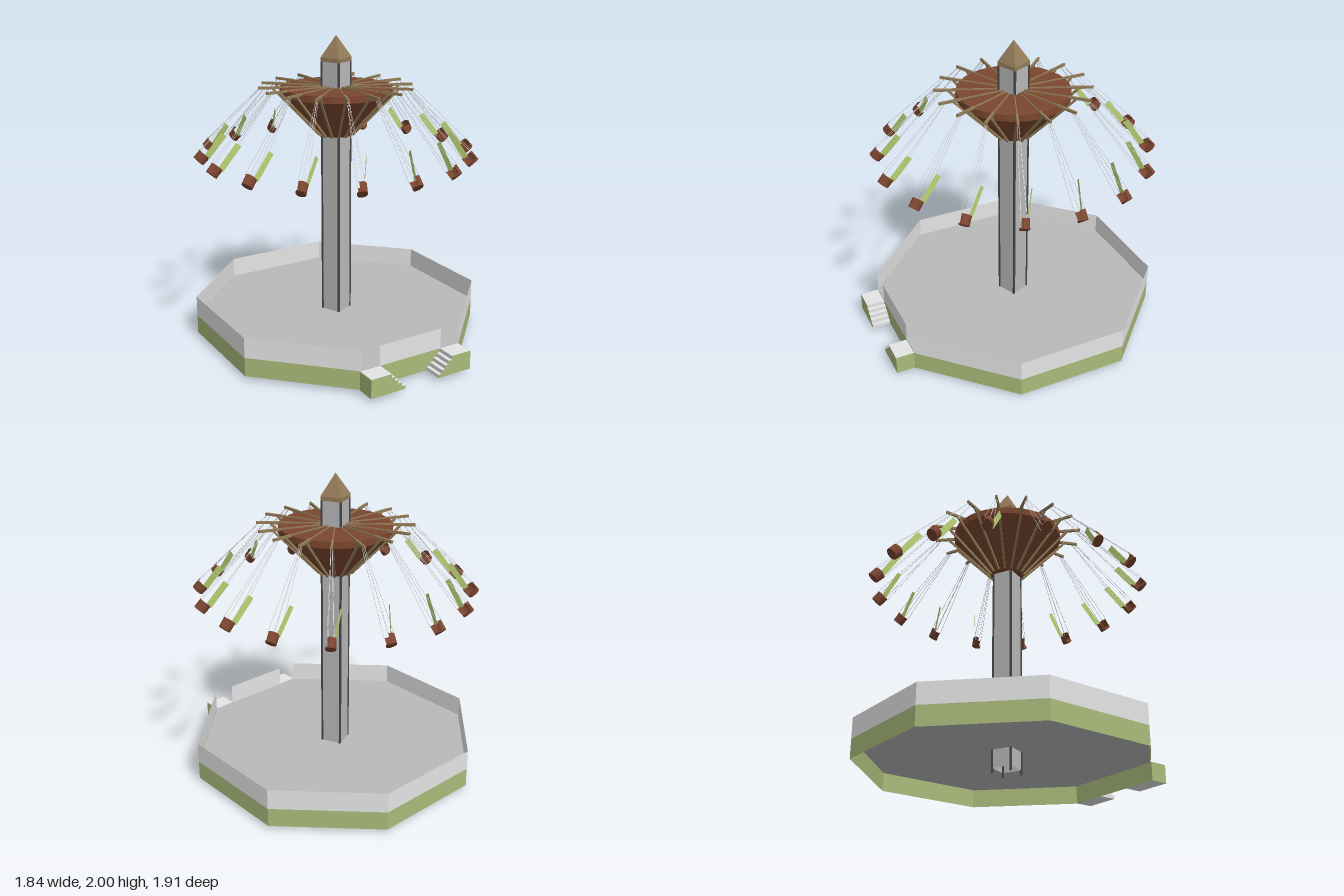
import * as THREE from 'three';

const mat = (name, color, extra = {}) =>
  Object.assign(new THREE.MeshStandardMaterial({ color, flatShading: true, ...extra }), { name });

export function createModel() {
  const two = { side: THREE.DoubleSide };
  const green = mat('baseGreen', 0xa9ba7a, two);
  const lightGrey = mat('fenceGrey', 0xe4e4e4, two);
  const grey = mat('deckGrey', 0xb9b9b9, two);
  const dark = mat('postDark', 0x484848);
  const brown = mat('canopyBrown', 0x7b462f);
  const seatBrown = mat('seatBrown', 0x7b4530, two);
  const tan = mat('timberTan', 0x937c58);
  const lime = mat('panelGreen', 0xbcd474, two);
  const chainGrey = mat('chainGrey', 0xd0d0d0);

  const model = new THREE.Group();
  model.name = 'swingCarousel';
  const ride = new THREE.Group();
  ride.name = 'ride';
  ride.position.z = -0.04;
  model.add(ride);

  const add = (parent, name, geo, material, x = 0, y = 0, z = 0) => {
    const m = new THREE.Mesh(geo, material);
    m.name = name;
    m.position.set(x, y, z);
    parent.add(m);
    return m;
  };
  const up = new THREE.Vector3(0, 1, 0);
  // Straight bar between two points
  const bar = (parent, name, a, b, geoFor, material) => {
    const p = new THREE.Vector3(...a), q = new THREE.Vector3(...b);
    const d = q.clone().sub(p);
    const m = add(parent, name, geoFor(d.length()), material);
    m.position.copy(p).add(q).multiplyScalar(0.5);
    m.quaternion.setFromUnitVectors(up, d.normalize());
    return m;
  };

  // Octagonal platform: thin deck on a hollow skirt, open underneath
  const apothem = 0.874, R = apothem / Math.cos(Math.PI / 8), turn = Math.PI / 8;
  const platform = new THREE.Group();
  platform.name = 'platform';
  platform.position.x = 0.005;
  ride.add(platform);
  add(platform, 'skirt', new THREE.CylinderGeometry(R, R, 0.123, 8, 1, true, turn), green, 0, 0.0865, 0);
  add(platform, 'deck', new THREE.CylinderGeometry(R - 0.002, R - 0.002, 0.004, 8, 1, false, turn),
    grey, 0, 0.147, 0);

  // Fence on seven sides; the front panel is shorter and leaves two entrances
  add(platform, 'fence', new THREE.CylinderGeometry(R, R, 0.133, 7, 1, true, turn, Math.PI * 1.75),
    lightGrey, 0, 0.2145, 0);
  add(platform, 'frontFence', new THREE.PlaneGeometry(0.45, 0.133), lightGrey, -0.005, 0.2145, apothem);

  // Two mirrored stairs descending towards the middle
  for (const s of [1, -1]) {
    const pts = [[0.362, 0.026], [0.362, 0.149]];
    for (let i = 0; i < 5; i++) {
      const x = 0.222 - i * 0.025, y = 0.149 - i * 0.025;
      pts.push([x, y], [x, i === 4 ? 0.026 : y - 0.025]);
    }
    const profile = new THREE.Shape(pts.map(([x, y]) => new THREE.Vector2(s * x, y)));
    const geo = new THREE.ExtrudeGeometry(profile, { depth: 0.122, bevelEnabled: false });
    add(model, 'stairs', geo, [green, lightGrey], 0, 0, 0.835);
    add(model, 'stairOuterSide', new THREE.BoxGeometry(0.004, 0.121, 0.122), green,
      s * 0.363, 0.0865, 0.896);
  }

  // Square hollow column with corner posts and a pyramid cap
  const colR = 0.094, colTurn = -0.37;
  add(ride, 'column', new THREE.CylinderGeometry(colR, colR, 1.81, 4, 1, true, colTurn),
    grey, 0, 0.935, 0);
  for (let i = 0; i < 4; i++) {
    const t = colTurn + (i * Math.PI) / 2, r = colR * 0.97;
    add(ride, 'cornerPost', new THREE.BoxGeometry(0.012, 1.84, 0.012), dark,
      r * Math.sin(t), 0.92, r * Math.cos(t)).rotation.y = colTurn + Math.PI / 4;
  }
  add(ride, 'capSkirt', new THREE.CylinderGeometry(0.1, 0.1, 0.025, 4, 1, false, colTurn),
    tan, 0, 1.8475, 0);
  add(ride, 'capRoof', new THREE.CylinderGeometry(0, 0.1, 0.14, 4, 1, false, colTurn),
    tan, 0, 1.93, 0);

  // Funnel canopy: cone and rim
  add(ride, 'canopyCone', new THREE.CylinderGeometry(0.36, 0.1, 0.27, 32), brown, 0, 1.495, 0);
  add(ride, 'canopyRim', new THREE.CylinderGeometry(0.36, 0.36, 0.043, 32), brown, 0, 1.6515, 0);

  // Sixteen arms, each with a rib, chains, seat and back panel
  const box = (w, h) => (len) => new THREE.BoxGeometry(w, len, h);
  const chain = (len) => new THREE.CylinderGeometry(0.0014, 0.0014, len, 4);
  const tilt = 0.75, drop = 0.552;
  for (let i = 0; i < 16; i++) {
    const arm = new THREE.Group();
    arm.name = 'swingArm';
    arm.rotation.y = (i * Math.PI) / 8;
    ride.add(arm);
    add(arm, 'innerArm', new THREE.BoxGeometry(0.3, 0.014, 0.006), tan, 0.22, 1.675, 0);
    add(arm, 'outerArm', new THREE.BoxGeometry(0.145, 0.016, 0.014), tan, 0.424, 1.675, 0);
    bar(arm, 'rib', [0.112, 1.362, 0], [0.405, 1.67, 0], box(0.014, 0.013), tan);

    const swing = new THREE.Group();
    swing.name = 'swing';
    swing.position.set(0.472, 1.668, 0);
    swing.rotation.set(0.035, 0, tilt);
    arm.add(swing);
    for (const sx of [1, -1]) for (const sz of [1, -1]) {
      bar(swing, 'chain', [sx * 0.01, 0, sz * 0.004], [sx * 0.038, -drop, sz * 0.018], chain, chainGrey);
    }
    // Curved tub seat, open to the front
    const tub = add(swing, 'seatTub', new THREE.CylinderGeometry(0.042, 0.04, 0.062, 14, 1, true,
      0.35 * Math.PI, 1.3 * Math.PI), seatBrown, 0, -drop - 0.028, 0);
    tub.scale.z = 0.78;
    const floor = add(swing, 'seatFloor', new THREE.CylinderGeometry(0.04, 0.04, 0.01, 14),
      seatBrown, 0, -drop - 0.055, 0);
    floor.scale.z = 0.78;

    // Tall panel behind the seat
    const panel = add(arm, 'backPanel', new THREE.PlaneGeometry(0.04, 0.19), lime, 0.78, 1.322, -0.05);
    panel.rotation.set(0, -0.28, tilt - 0.1, 'YXZ');
  }
  return model;
}
